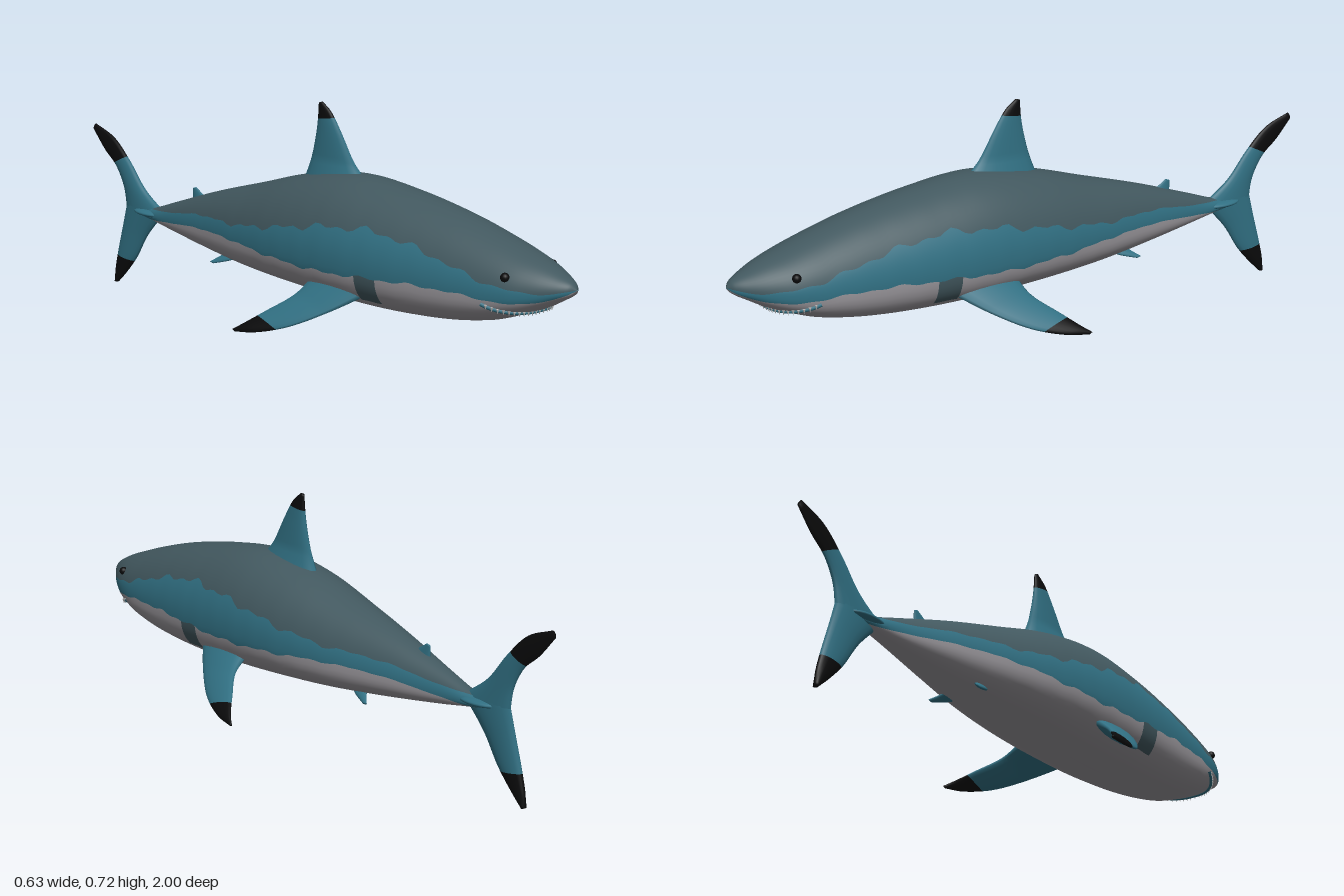
import * as THREE from 'three';

const mat = (name, color) => {
  const m = new THREE.MeshStandardMaterial({ color });
  m.name = name;
  return m;
};
const slate = mat('slate back', 0x42585f);
const teal = mat('teal flank', 0x317083);
const belly = mat('pale belly', 0x9a979c);
const black = mat('black tip', 0x0a0a0b);
const ivory = mat('ivory teeth', 0xc4c4c4);

const V = (p) => new THREE.Vector3(...p);

// Skin closed rings (counter-clockwise about the travel axis); pick(i, j) gives a material index
function loft(rings, materials, pick) {
  const n = rings[0].length;
  const pos = [];
  const lists = materials.map(() => []);
  rings.forEach((r) => r.forEach((p) => pos.push(p.x, p.y, p.z)));
  for (let i = 0; i < rings.length - 1; i++) {
    for (let j = 0; j < n; j++) {
      const k = (j + 1) % n;
      const a = i * n + j, b = i * n + k, c = a + n, d = b + n;
      lists[pick(i, j)].push(a, b, c, b, d, c);
    }
  }
  const g = new THREE.BufferGeometry();
  g.setAttribute('position', new THREE.Float32BufferAttribute(pos, 3));
  g.setIndex(lists.flat());
  let start = 0;
  lists.forEach((l, m) => {
    g.addGroup(start, l.length, m);
    start += l.length;
  });
  g.computeVertexNormals();
  return new THREE.Mesh(g, materials);
}

// Body profile: z, top, bottom, half width, top of teal band, top of belly
const rows = [
  [-0.78, 0.275, 0.252, 0.012, 0.272, 0.253],
  [-0.7, 0.286, 0.245, 0.026, 0.282, 0.25],
  [-0.6, 0.32, 0.23, 0.043, 0.292, 0.26],
  [-0.4, 0.388, 0.207, 0.09, 0.325, 0.284],
  [-0.2, 0.447, 0.19, 0.137, 0.337, 0.289],
  [0, 0.505, 0.18, 0.17, 0.368, 0.28],
  [0.2, 0.534, 0.174, 0.182, 0.405, 0.277],
  [0.4, 0.517, 0.174, 0.176, 0.42, 0.29],
  [0.6, 0.482, 0.187, 0.157, 0.388, 0.3],
  [0.75, 0.443, 0.213, 0.136, 0.348, 0.297],
  [0.84, 0.415, 0.244, 0.114, 0.333, 0.292],
  [0.9, 0.395, 0.27, 0.086, 0.325, 0.297],
  [0.95, 0.374, 0.298, 0.054, 0.328, 0.311],
  [0.985, 0.356, 0.319, 0.025, 0.335, 0.326],
  [1, 0.339, 0.336, 0.001, 0.338, 0.337],
];

function section(z) {
  let i = 0;
  while (i < rows.length - 2 && z > rows[i + 1][0]) i++;
  const at = (k) => rows[Math.min(Math.max(k, 0), rows.length - 1)];
  const h = at(i + 1)[0] - at(i)[0];
  const t = (z - at(i)[0]) / h;
  const slope = (k, c) => (at(k + 1)[c] - at(k - 1)[c]) / (at(k + 1)[0] - at(k - 1)[0]);
  const value = (c) =>
    (1 + 2 * t) * (1 - t) ** 2 * at(i)[c] + t * (1 - t) ** 2 * h * slope(i, c) +
    t * t * (3 - 2 * t) * at(i + 1)[c] + t * t * (t - 1) * h * slope(i + 1, c);
  const [top, bottom, w, tealTop, bellyTop] = [1, 2, 3, 4, 5].map(value);
  return { top, bottom, w, tealTop, bellyTop, mid: bottom + 0.4 * (top - bottom) };
}

// Point on the skin: round above, fuller below
function skin(z, a, grow = 0) {
  const s = section(z);
  const p = Math.sin(a) < 0 ? 0.8 : 1;
  const c = Math.cos(a), sn = Math.sin(a);
  const height = sn < 0 ? s.mid - s.bottom : s.top - s.mid;
  return new THREE.Vector3(
    Math.sign(c) * Math.abs(c) ** p * (s.w + grow),
    s.mid + Math.sign(sn) * Math.abs(sn) ** p * (height + grow), z);
}

function angleAt(z, y) {
  const s = section(z);
  const d = y - s.mid;
  if (d < 0) return -Math.asin(Math.min(1, -d / (s.mid - s.bottom)) ** 1.25);
  return Math.asin(Math.min(1, d / (s.top - s.mid)));
}

function makeBody() {
  const N = 110, B = 12, T = 6, S = 12, half = B + T + S;
  const rings = [], zs = [];
  for (let i = 0; i <= N; i++) {
    const z = -0.78 + 1.78 * Math.sin((Math.PI / 2) * (i / N));
    zs.push(z);
    const s = section(z);
    // Wavy colour borders, fading toward the nose and tail
    const wave = 0.1 * s.w ** 2 * (Math.sin(z * 38) + Math.sin(z * 71 + 1));
    const low = angleAt(z, s.bellyTop + wave);
    const high = angleAt(z, s.tealTop + wave * 2);
    const side = [];
    for (let j = 0; j <= half; j++) {
      let a;
      if (j <= B) a = THREE.MathUtils.lerp(-Math.PI / 2, low, j / B);
      else if (j <= B + T) a = THREE.MathUtils.lerp(low, high, (j - B) / T);
      else a = THREE.MathUtils.lerp(high, Math.PI / 2, (j - B - T) / S);
      side.push(a);
    }
    const angles = [...side, ...side.slice(1, -1).reverse().map((a) => Math.PI - a)];
    rings.push(angles.map((a) => skin(z, a)));
  }
  return loft(rings, [slate, teal, belly], (i, j) => {
    const k = j < half ? j : 2 * half - 1 - j;
    const shoulder = zs[i] > 0.33 && zs[i] < 0.42 && k >= B - 5;
    if (k < B) return shoulder ? 0 : 2;
    return k < B + T ? 1 : 0;
  });
}

// Fin from stations [leading point, trailing point, thickness]; black from fraction cut onward
function makeFin(name, stations, cut, side = 1) {
  const flip = ([x, y, z]) => V([x * side, y, z]);
  const lead = new THREE.CatmullRomCurve3(stations.map((s) => flip(s[0])));
  const trail = new THREE.CatmullRomCurve3(stations.map((s) => flip(s[1])));
  const M = 24, n = 16, rings = [];
  const span = lead.getPoint(1).add(trail.getPoint(1)).sub(lead.getPoint(0)).sub(trail.getPoint(0));
  for (let i = 0; i <= M; i++) {
    const u = i / M, f = u * (stations.length - 1);
    const k = Math.min(Math.floor(f), stations.length - 2);
    const thick = THREE.MathUtils.lerp(stations[k][2], stations[k + 1][2], f - k);
    const a = lead.getPoint(u), b = trail.getPoint(u);
    const mid = a.clone().add(b).multiplyScalar(0.5);
    const chord = a.clone().sub(b).multiplyScalar(0.5);
    const normal = span.clone().cross(chord).normalize().multiplyScalar(thick / 2);
    rings.push(Array.from({ length: n }, (_, j) => {
      const t = (j / n) * Math.PI * 2;
      return mid.clone().addScaledVector(chord, Math.cos(t)).addScaledVector(normal, Math.sin(t));
    }));
  }
  const tip = lead.getPoint(1).add(trail.getPoint(1)).multiplyScalar(0.5);
  rings.push(rings[0].map(() => tip.clone()));
  const fin = loft(rings, [teal, black], (i) => (i / M >= cut ? 1 : 0));
  fin.name = name;
  return fin;
}

export function createModel() {
  const model = new THREE.Group();
  model.name = 'shark';
  const body = makeBody();
  body.name = 'body';
  model.add(body);

  // Fins on the centre line
  model.add(makeFin('dorsalFin', [
    [[0, 0.51, 0.23], [0, 0.47, -0.03], 0.075],
    [[0, 0.56, 0.18], [0, 0.555, 0.005], 0.036],
    [[0, 0.645, 0.125], [0, 0.64, 0.027], 0.025],
    [[0, 0.7, 0.085], [0, 0.69, 0.034], 0.018],
    [[0, 0.726, 0.05], [0, 0.722, 0.036], 0.01]], 0.63));
  model.add(makeFin('secondDorsalFin', [
    [[0, 0.34, -0.43], [0, 0.325, -0.52], 0.02],
    [[0, 0.365, -0.475], [0, 0.355, -0.52], 0.012],
    [[0, 0.383, -0.505], [0, 0.378, -0.52], 0.006]], 2));
  model.add(makeFin('upperTailLobe', [
    [[0, 0.27, -0.65], [0, 0.25, -0.84], 0.036],
    [[0, 0.335, -0.75], [0, 0.33, -0.852], 0.03],
    [[0, 0.42, -0.825], [0, 0.395, -0.89], 0.024],
    [[0, 0.487, -0.9], [0, 0.44, -0.945], 0.02],
    [[0, 0.52, -0.99], [0, 0.5, -1], 0.012]], 0.54));
  model.add(makeFin('lowerTailLobe', [
    [[0, 0.27, -0.66], [0, 0.28, -0.84], 0.036],
    [[0, 0.185, -0.742], [0, 0.2, -0.862], 0.032],
    [[0, 0.1, -0.8], [0, 0.11, -0.888], 0.03],
    [[0, 0.04, -0.855], [0, 0.05, -0.902], 0.026],
    [[0, 0.003, -0.895], [0, 0.006, -0.907], 0.018]], 0.54));

  // Keel widening the tail stalk
  const keel = new THREE.Mesh(new THREE.SphereGeometry(1, 24, 12), teal);
  keel.name = 'tailKeel';
  keel.scale.set(0.038, 0.012, 0.075);
  keel.position.set(0, 0.266, -0.72);
  model.add(keel);

  // Paired fins and eyes
  for (const [label, side] of [['left', 1], ['right', -1]]) {
    model.add(makeFin(label + 'PectoralFin', [
      [[0.13, 0.235, 0.37], [0.13, 0.24, 0.14], 0.05],
      [[0.205, 0.17, 0.27], [0.19, 0.195, 0.125], 0.026],
      [[0.265, 0.12, 0.17], [0.25, 0.145, 0.065], 0.02],
      [[0.3, 0.092, 0.07], [0.295, 0.105, 0.015], 0.015],
      [[0.312, 0.083, 0], [0.311, 0.087, -0.01], 0.009]], 0.58, side));
    model.add(makeFin(label + 'PelvicFin', [
      [[0.045, 0.222, -0.23], [0.04, 0.222, -0.31], 0.02],
      [[0.07, 0.2, -0.28], [0.065, 0.205, -0.325], 0.012],
      [[0.087, 0.184, -0.335], [0.086, 0.187, -0.35], 0.006]], 2, side));
    const eye = new THREE.Mesh(new THREE.SphereGeometry(0.013, 16, 12), black);
    eye.name = label + 'Eye';
    const p = skin(0.835, angleAt(0.835, 0.362));
    eye.position.set(p.x * side, p.y, p.z);
    model.add(eye);
  }

  // Curved mouth with a row of teeth
  const mouthPoint = (t, grow) =>
    skin(0.885 - 0.11 * t * t, -Math.PI / 2 + t * THREE.MathUtils.degToRad(78), grow);
  const path = Array.from({ length: 25 }, (_, i) => mouthPoint(i / 12 - 1, 0));
  const lips = new THREE.Mesh(
    new THREE.TubeGeometry(new THREE.CatmullRomCurve3(path), 64, 0.006, 8), teal);
  lips.name = 'mouth';
  model.add(lips);
  const toothShape = new THREE.ConeGeometry(0.0045, 0.014, 6);
  for (let i = 0; i < 25; i++) {
    const tooth = new THREE.Mesh(toothShape, ivory);
    tooth.name = 'tooth';
    tooth.position.copy(mouthPoint((i / 12 - 1) * 0.94, 0.004));
    tooth.position.z += 0.004;
    tooth.rotation.x = Math.PI;
    model.add(tooth);
  }
  return model;
}
